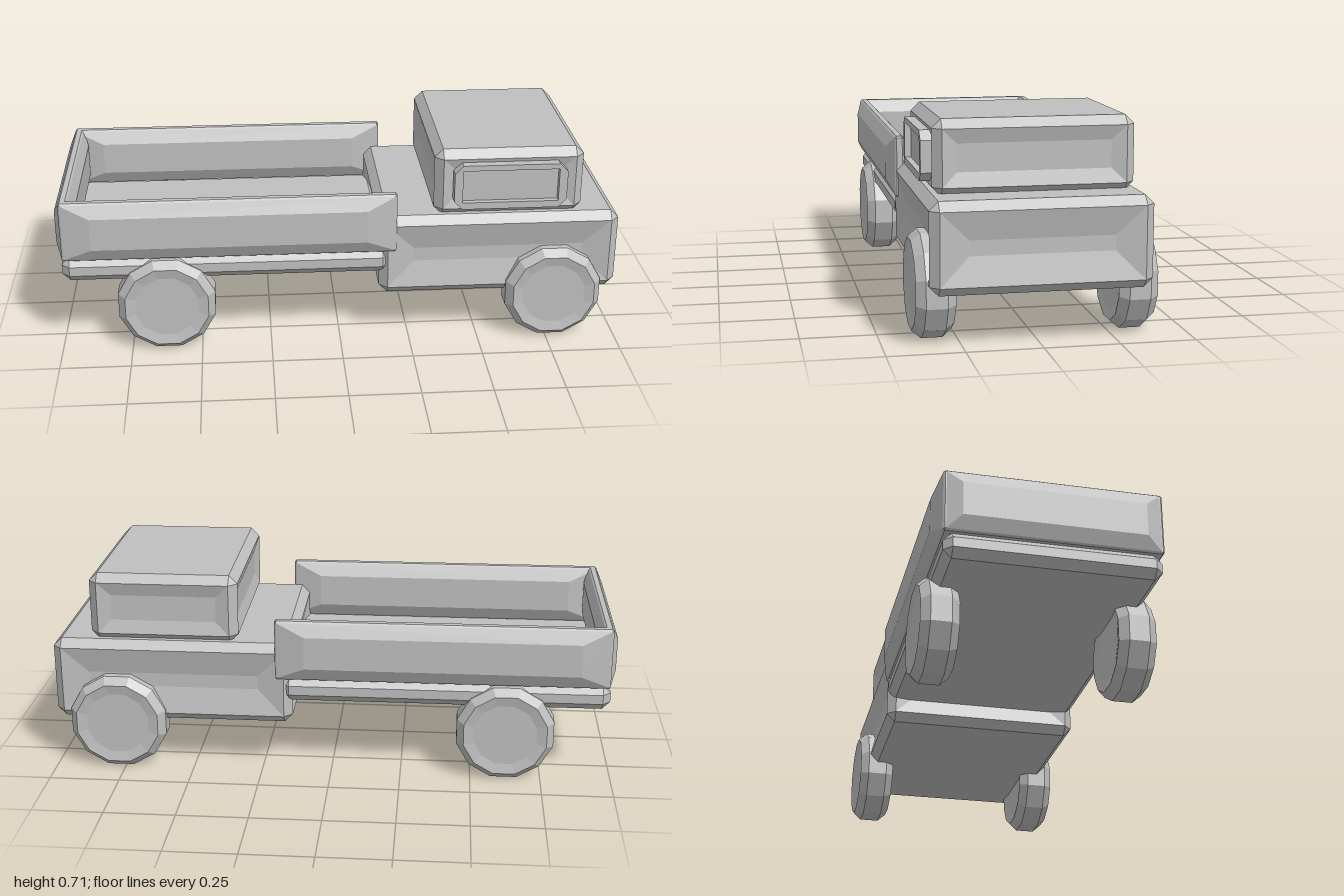
import * as THREE from 'three';

const grey = new THREE.MeshStandardMaterial({ color: 0xbfbfbf });
grey.name = 'plain grey';

// Chamfered box between two corners. relief(axis, sign) may return [insetA, insetB, depth]
// to push the middle of that face out (depth > 0) or in (depth < 0).
function panelBox(min, max, c, relief = () => null) {
  const half = min.map((m, i) => (max[i] - m) / 2);
  const mid = min.map((m, i) => (max[i] + m) / 2);
  const pos = [];
  const poly = (...pts) => {
    for (let i = 1; i < pts.length - 1; i++) {
      const t = [pts[0], pts[i], pts[i + 1]].map((p) => new THREE.Vector3(...p));
      const n = new THREE.Vector3().crossVectors(t[1].clone().sub(t[0]), t[2].clone().sub(t[0]));
      const centre = t[0].clone().add(t[1]).add(t[2]);
      if (n.dot(centre) < 0) t.reverse();
      t.forEach((p) => pos.push(p.x + mid[0], p.y + mid[1], p.z + mid[2]));
    }
  };
  const SIGNS = [-1, 1];
  // corner of the flat face on axis a, near the box corner given by signs s
  const corner = (a, s) => s.map((v, i) => v * (half[i] - (i === a ? 0 : c)));
  for (let a = 0; a < 3; a++) {
    const b = (a + 1) % 3, d = (a + 2) % 3;
    const signs = (sa, sb, sd) => {
      const s = [0, 0, 0];
      s[a] = sa; s[b] = sb; s[d] = sd;
      return s;
    };
    for (const sa of SIGNS) {
      const ring = [[-1, -1], [1, -1], [1, 1], [-1, 1]].map(([p, q]) => signs(sa, p, q));
      const outer = ring.map((s) => corner(a, s));
      const r = relief(a, sa);
      if (r) {
        const inner = ring.map((s, i) => {
          const p = outer[i].slice();
          p[a] += sa * r[2];
          p[b] -= s[b] * r[0];
          p[d] -= s[d] * r[1];
          return p;
        });
        poly(...inner);
        for (let i = 0; i < 4; i++) {
          const j = (i + 1) % 4;
          poly(outer[i], outer[j], inner[j], inner[i]);
        }
      } else poly(...outer);
      // chamfer strips along axis d, and corner triangles
      for (const sb of SIGNS) {
        const s0 = signs(sa, sb, -1), s1 = signs(sa, sb, 1);
        poly(corner(a, s0), corner(a, s1), corner(b, s1), corner(b, s0));
        if (a === 0) for (const s of [s0, s1]) poly(corner(0, s), corner(1, s), corner(2, s));
      }
    }
  }
  const g = new THREE.BufferGeometry();
  g.setAttribute('position', new THREE.Float32BufferAttribute(pos, 3));
  g.computeVertexNormals();
  return g;
}

function flat(geometry) {
  const g = geometry.toNonIndexed();
  g.computeVertexNormals();
  return g;
}

export function createModel() {
  const truck = new THREE.Group();
  truck.name = 'truck';
  const add = (name, geometry) => {
    const m = new THREE.Mesh(geometry, grey);
    m.name = name;
    truck.add(m);
    return m;
  };

  // Front body and cab, with shallow dished sides
  const dish = (inset, depth) => (a) => (a === 1 ? null : [inset, inset, -depth]);
  add('frontBody', panelBox([0.14, 0.175, -0.36], [1, 0.475, 0.36], 0.03, dish(0.095, 0.022)));
  add('cab', panelBox([0.335, 0.465, -0.33], [0.865, 0.713, 0.33], 0.03, dish(0.048, 0.014)));

  // Window frame on one side of the cab
  const frame = new THREE.Shape();
  [[0.43, 0.505], [0.77, 0.505], [0.8, 0.535], [0.8, 0.64], [0.77, 0.67],
    [0.43, 0.67], [0.4, 0.64], [0.4, 0.535]].forEach(([x, y], i) =>
    (i ? frame.lineTo(x, y) : frame.moveTo(x, y)));
  const hole = new THREE.Path();
  hole.moveTo(0.43, 0.53).lineTo(0.43, 0.65).lineTo(0.77, 0.65).lineTo(0.77, 0.53).closePath();
  frame.holes.push(hole);
  add('windowFrame', new THREE.ExtrudeGeometry(frame, { depth: 0.05, bevelEnabled: false }))
    .position.z = 0.31;
  add('windowPane', new THREE.BoxGeometry(0.36, 0.14, 0.009)).position.set(0.6, 0.59, 0.334);

  // Load bed floor and three walls that bulge on both sides
  add('bedFloor', panelBox([-0.985, 0.262, -0.36], [0.18, 0.352, 0.36], 0.028));
  for (const s of [-1, 1]) {
    const z0 = s > 0 ? 0.332 : -0.364;
    add(s > 0 ? 'leftBedWall' : 'rightBedWall',
      panelBox([-0.98, 0.35, z0], [0.2, 0.57, z0 + 0.032], 0.006,
        (a) => (a === 2 ? [0.1, 0.045, 0.024] : null)));
  }
  add('tailWall', panelBox([-0.98, 0.35, -0.36], [-0.95, 0.57, 0.36], 0.006,
    (a) => (a === 0 ? [0.045, 0.05, 0.02] : null)));

  // Wheels: twelve-sided, chamfered, slightly dished on both faces
  const profile = [[0, -0.057], [0.115, -0.057], [0.152, -0.065], [0.178, -0.035],
    [0.178, 0.035], [0.152, 0.065], [0.115, 0.057], [0, 0.057]]
    .map(([r, y]) => new THREE.Vector2(r, y));
  const wheel = flat(new THREE.LatheGeometry(profile, 12));
  wheel.rotateY(Math.PI / 12).rotateX(Math.PI / 2);
  for (const [end, x] of [['rear', -0.62], ['front', 0.77]])
    for (const [side, z] of [['Left', 0.33], ['Right', -0.33]])
      add(end + side + 'Wheel', wheel).position.set(x, 0.172, z);

  return truck;
}
